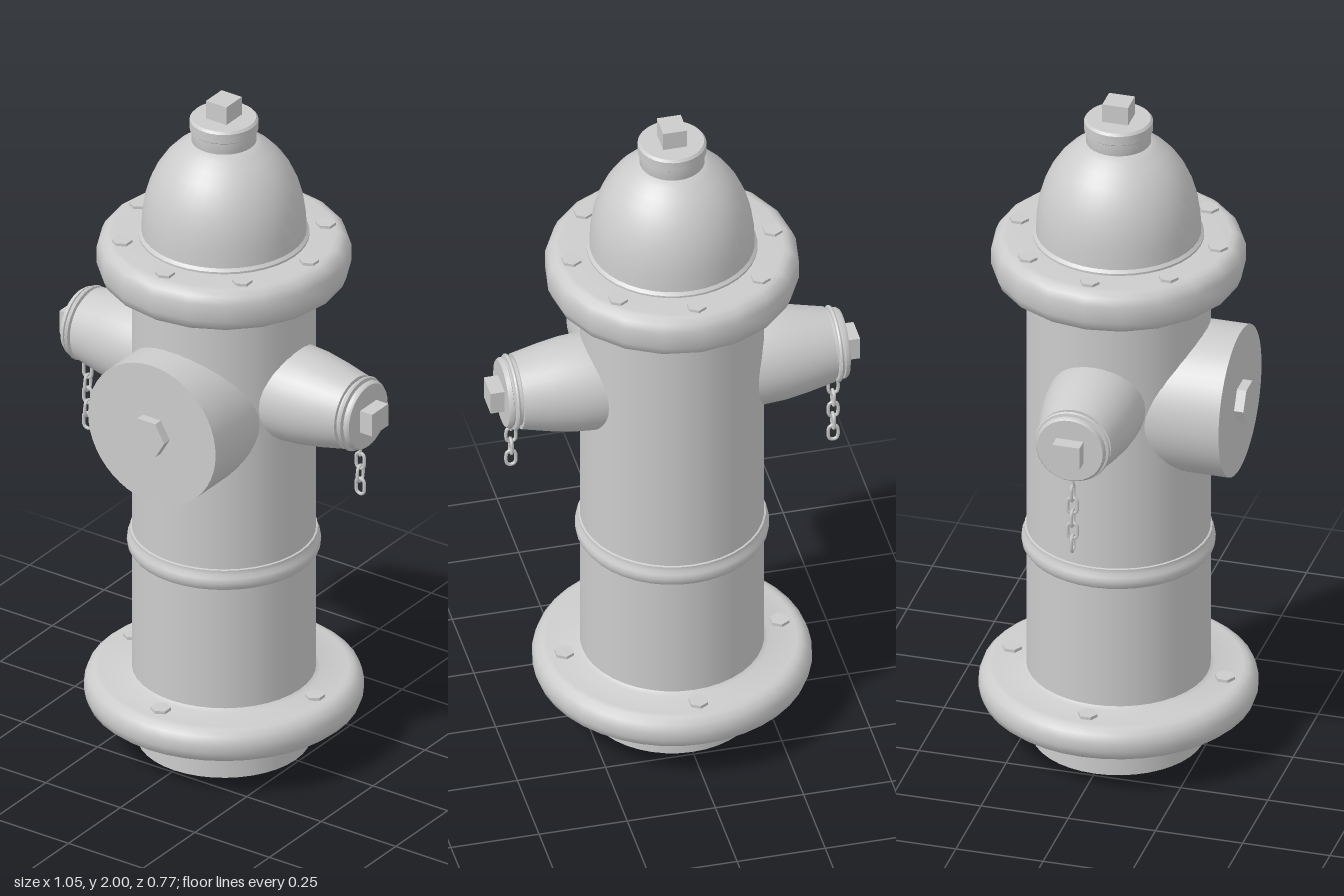
import * as THREE from 'three';
import { toCreasedNormals } from 'three/addons/utils/BufferGeometryUtils.js';

const grey = new THREE.MeshStandardMaterial({ color: 0xcccccc });
const greyDouble = new THREE.MeshStandardMaterial({ color: 0xcccccc, side: THREE.DoubleSide });

function add(parent, name, geometry, x = 0, y = 0, z = 0, material = grey) {
  const mesh = new THREE.Mesh(geometry, material);
  mesh.name = name;
  mesh.position.set(x, y, z);
  parent.add(mesh);
  return mesh;
}

// Turned part from [radius, height] pairs listed bottom to top
function turned(profile, sides = 40) {
  const points = profile.map(([r, y]) => new THREE.Vector2(r, y));
  return toCreasedNormals(new THREE.LatheGeometry(points, sides), 0.7);
}

// Flat-sided hexagonal prism
function hex(radius, height) {
  return toCreasedNormals(new THREE.CylinderGeometry(radius, radius, height, 6), 0.5);
}

// Ring of hexagonal bolts
function boltRing(parent, name, count, radius, y, height) {
  const ring = new THREE.Group();
  ring.name = name;
  for (let i = 0; i < count; i++) {
    const a = (i / count) * Math.PI * 2;
    add(ring, 'bolt', hex(0.028, height), Math.sin(a) * radius, y, Math.cos(a) * radius);
  }
  parent.add(ring);
}

// Oval chain link standing upright in the XY plane
function linkGeometry() {
  const points = [];
  for (let i = 0; i < 12; i++) {
    const a = (i / 12) * Math.PI * 2;
    const s = Math.sin(a);
    points.push(new THREE.Vector3(Math.cos(a) * 0.014, s * 0.014 + Math.sign(Math.round(s * 100)) * 0.01, 0));
  }
  const path = new THREE.CatmullRomCurve3(points, true);
  return new THREE.TubeGeometry(path, 20, 0.005, 6, true);
}

// Hanging chain with alternating links
function chain(links) {
  const group = new THREE.Group();
  group.name = 'chain';
  const geometry = linkGeometry();
  for (let i = 0; i < links; i++) {
    const link = add(group, 'chainLink', geometry, 0, -i * 0.04, 0);
    if (i % 2) link.rotation.y = Math.PI / 2;
  }
  return group;
}

// Side outlet pointing along +x, with cap and square nut
function sideOutlet() {
  const group = new THREE.Group();
  group.name = 'sideOutlet';
  const outlet = turned([
    [0.138, 0.15], [0.138, 0.24], [0.134, 0.3], [0.124, 0.36], [0.106, 0.443], [0.092, 0.443],
  ], 32);
  add(group, 'outletBarrel', outlet.rotateZ(-Math.PI / 2));
  const cap = turned([
    [0.095, 0.43], [0.095, 0.451], [0.105, 0.453], [0.108, 0.458], [0.105, 0.463], [0.094, 0.465],
    [0.094, 0.469], [0.1, 0.471], [0.1, 0.476], [0.094, 0.484], [0, 0.484],
  ], 32);
  add(group, 'outletCap', cap.rotateZ(-Math.PI / 2));
  add(group, 'outletNut', new THREE.BoxGeometry(0.06, 0.068, 0.078), 0.494, 0, 0);
  return group;
}

export function createModel() {
  const model = new THREE.Group();
  model.name = 'fireHydrant';

  // Foot: short open pipe closed off at the flange
  add(model, 'footPipe', new THREE.CylinderGeometry(0.24, 0.24, 0.12, 40, 1, true), 0, 0.06, 0, greyDouble);
  const plate = new THREE.CircleGeometry(0.24, 40).rotateX(Math.PI / 2);
  add(model, 'footPlate', plate, 0, 0.112, 0, greyDouble);

  // Base flange with bolts
  add(model, 'baseFlange', turned([
    [0.23, 0.112], [0.29, 0.112], [0.29, 0.121], [0.365, 0.121], [0.378, 0.132], [0.386, 0.155],
    [0.386, 0.178], [0.378, 0.202], [0.36, 0.216], [0.345, 0.219], [0.265, 0.219], [0.254, 0.226],
  ]));
  boltRing(model, 'baseBolts', 4, 0.305, 0.215, 0.026);

  // Barrel and its middle band
  add(model, 'barrel', new THREE.CylinderGeometry(0.254, 0.254, 1.32, 40, 1, true), 0, 0.84, 0);
  add(model, 'middleBand', turned([
    [0.25, 0.6], [0.259, 0.6], [0.266, 0.61], [0.268, 0.623], [0.266, 0.637], [0.259, 0.646],
    [0.259, 0.66], [0.25, 0.663],
  ]));

  // Bonnet flange with bolts through it
  add(model, 'bonnetFlange', turned([
    [0.2, 1.452], [0.325, 1.452], [0.34, 1.463], [0.351, 1.49], [0.351, 1.54],
    [0.342, 1.562], [0.325, 1.576], [0.31, 1.578], [0.2, 1.578],
  ], 20));
  boltRing(model, 'bonnetBolts', 8, 0.285, 1.515, 0.142);

  // Domed bonnet, neck and operating nut
  add(model, 'bonnet', turned([
    [0.236, 1.57], [0.236, 1.584], [0.228, 1.592], [0.226, 1.64], [0.219, 1.69], [0.206, 1.735],
    [0.188, 1.775], [0.165, 1.81], [0.137, 1.84], [0.11, 1.86], [0.088, 1.875], [0, 1.875],
  ]));
  add(model, 'bonnetNeck', turned([
    [0.085, 1.86], [0.09, 1.874], [0.09, 1.906], [0.095, 1.91], [0.095, 1.938], [0.089, 1.945], [0, 1.945],
  ], 32));
  add(model, 'operatingNut', new THREE.BoxGeometry(0.068, 0.08, 0.074), 0, 1.96, 0);

  // Large front outlet
  const front = new THREE.CylinderGeometry(0.214, 0.214, 0.3, 48).rotateX(Math.PI / 2);
  add(model, 'frontOutlet', front, 0, 1.104, 0.198);
  const frontNut = hex(0.06, 0.05).rotateY(Math.PI / 2).rotateX(Math.PI / 2);
  frontNut.rotateZ(0);
  add(model, 'frontNut', frontNut, 0, 1.104, 0.35);

  // Side outlets, each with a hanging chain
  for (const side of [1, -1]) {
    const outlet = sideOutlet();
    outlet.position.y = 1.155;
    if (side < 0) outlet.rotation.y = Math.PI;
    model.add(outlet);
    const hanging = chain(side > 0 ? 3 : 5);
    hanging.position.set(side * 0.457, 1.008, 0);
    model.add(hanging);
    add(model, 'chainHook', new THREE.CylinderGeometry(0.005, 0.005, 0.04, 6), side * 0.457, 1.043, 0);
  }
  return model;
}
